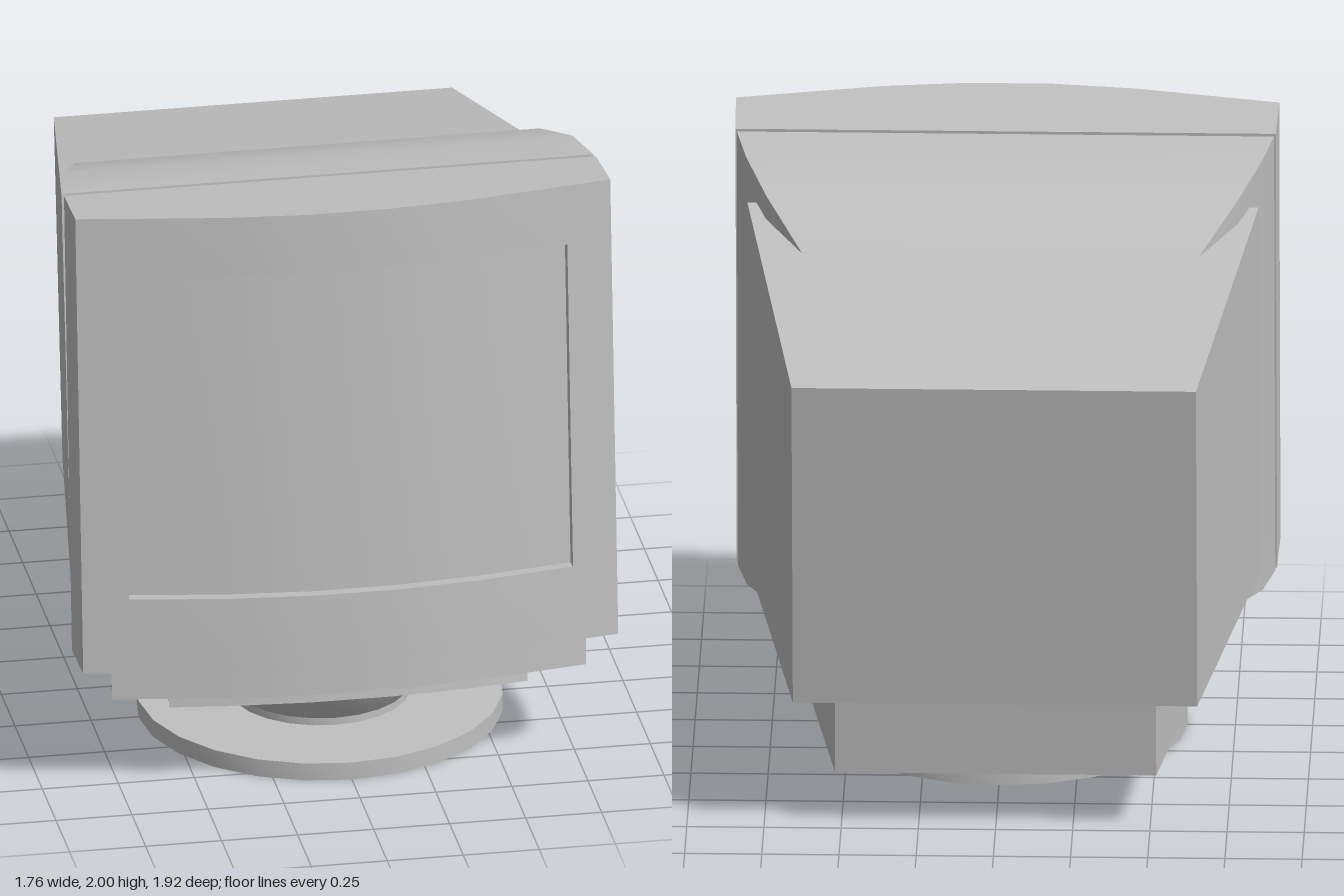
import * as THREE from 'three';
import { toCreasedNormals } from 'three/addons/utils/BufferGeometryUtils.js';

const grey = new THREE.MeshStandardMaterial({ color: 0xc0c0c0, side: THREE.DoubleSide });
grey.name = 'casing grey';

function part(name, geometry) {
  const mesh = new THREE.Mesh(toCreasedNormals(geometry, 0.6), grey);
  mesh.name = name;
  return mesh;
}

// How far the bowed front falls back from its middle at a given x
const bow = [[0, 0], [0.14, 0], [0.41, 0.03], [0.88, 0.125]];
function drop(x) {
  const a = Math.abs(x);
  for (let i = 1; i < bow.length; i++) {
    const [x0, d0] = bow[i - 1], [x1, d1] = bow[i];
    if (a <= x1) return d0 + (d1 - d0) * (a - x0) / (x1 - x0);
  }
  return bow[3][1];
}

// Slab with a bowed front, straight tapered sides and an optional recess
function bowedSlab({ front, width, back, backWidth, y0, y1, recess = 0, recessWidth = 0.73 }) {
  const half = [[0.14, recess], [0.41, recess]];
  if (recess) half.push([recessWidth, recess], [recessWidth, 0]);
  half.push([width, 0]);
  const right = half.map(([x, r]) => [x, front - drop(x) - r]);
  const left = right.map(([x, z]) => [-x, z]).reverse();
  const outline = [...left, ...right, [backWidth, back], [-backWidth, back]];
  const shape = new THREE.Shape(outline.map(([x, z]) => new THREE.Vector2(x, -z)));
  return new THREE.ExtrudeGeometry(shape, { depth: y1 - y0, bevelEnabled: false })
    .rotateX(-Math.PI / 2).translate(0, y0, 0);
}

// Skin through four-cornered sections, front to back: [width, bottom y, bottom z, top y, top z]
function loft(sections) {
  const positions = [], index = [];
  for (const [w, yb, zb, yt, zt] of sections) {
    positions.push(-w, yb, zb, w, yb, zb, w, yt, zt, -w, yt, zt);
  }
  for (let s = 0; s < sections.length - 1; s++) {
    for (let i = 0; i < 4; i++) {
      const a = s * 4 + i, b = s * 4 + (i + 1) % 4;
      index.push(a, a + 4, b, b, a + 4, b + 4);
    }
  }
  const e = (sections.length - 1) * 4;
  index.push(0, 1, 2, 0, 2, 3, e, e + 2, e + 1, e, e + 3, e + 2);
  const g = new THREE.BufferGeometry();
  g.setAttribute('position', new THREE.Float32BufferAttribute(positions, 3));
  g.setIndex(index);
  return g.toNonIndexed();
}

function lathe(points) {
  return new THREE.LatheGeometry(points.map(([r, y]) => new THREE.Vector2(r, y)), 24).toNonIndexed();
}

export function createModel() {
  const model = new THREE.Group();
  model.name = 'monitor';

  // Head, leaning slightly back
  const head = new THREE.Group();
  head.name = 'tiltedHead';
  head.position.set(0, 0.415, 0.597);
  head.rotation.x = -0.0935;
  model.add(head);

  // Bezel in three bands, the middle one holding the sunken screen
  const bezel = { front: 0.36, width: 0.88, back: 0, backWidth: 0.875 };
  head.add(
    part('bezelBottom', bowedSlab({ ...bezel, y0: 0, y1: 0.252 })),
    part('bezelSidesAndScreen', bowedSlab({ ...bezel, y0: 0.252, y1: 1.357, recess: 0.045 })),
    part('bezelTop', bowedSlab({ ...bezel, y0: 1.357, y1: 1.558 })),
  );

  // Narrow groove behind the bezel
  head.add(part('groove', new THREE.BoxGeometry(1.715, 1.52, 0.06).translate(0, 0.779, -0.01)));

  // Rounded shell closing in toward the rear
  head.add(part('shell', loft([
    [0.87, 0.0, -0.02, 1.558, -0.02],
    [0.835, 0.024, -0.215, 1.56, -0.212],
    [0.765, 0.066, -0.41, 1.52, -0.417],
    [0.64, 0.14, -0.628, 1.41, -0.628],
  ])));

  // Upper step under the head
  head.add(part('upperStep', bowedSlab({
    front: 0.3, width: 0.78, back: -1.333, backWidth: 0.52, y0: -0.11, y1: 0.165,
  })));

  // Tapered rear housing
  model.add(part('rearHousing', loft([
    [0.828, 0.5, 0.33, 1.825, 0.145],
    [0.655, 0.45, -0.8, 1.595, -0.96],
  ])));

  // Lower step, sloping more steeply
  const lower = part('lowerStep', bowedSlab({
    front: 1.23, width: 0.59, back: 0, backWidth: 0.4, y0: 0, y1: 0.14,
  }));
  lower.position.set(0, 0.09, -0.36);
  lower.rotation.x = -0.159;
  model.add(lower);

  // Swivel stand: ring foot and open bowl
  const stand = new THREE.Group();
  stand.name = 'stand';
  stand.position.z = 0.26;
  stand.add(
    part('footRing', lathe([[0.295, 0], [0.595, 0], [0.595, 0.06], [0.295, 0.06], [0.295, 0]])),
    part('swivelBowl', lathe([[0.295, 0.055], [0.295, 0.085], [0.325, 0.125], [0.355, 0.17], [0.378, 0.21], [0.39, 0.255]])),
  );
  model.add(stand);

  return model;
}
